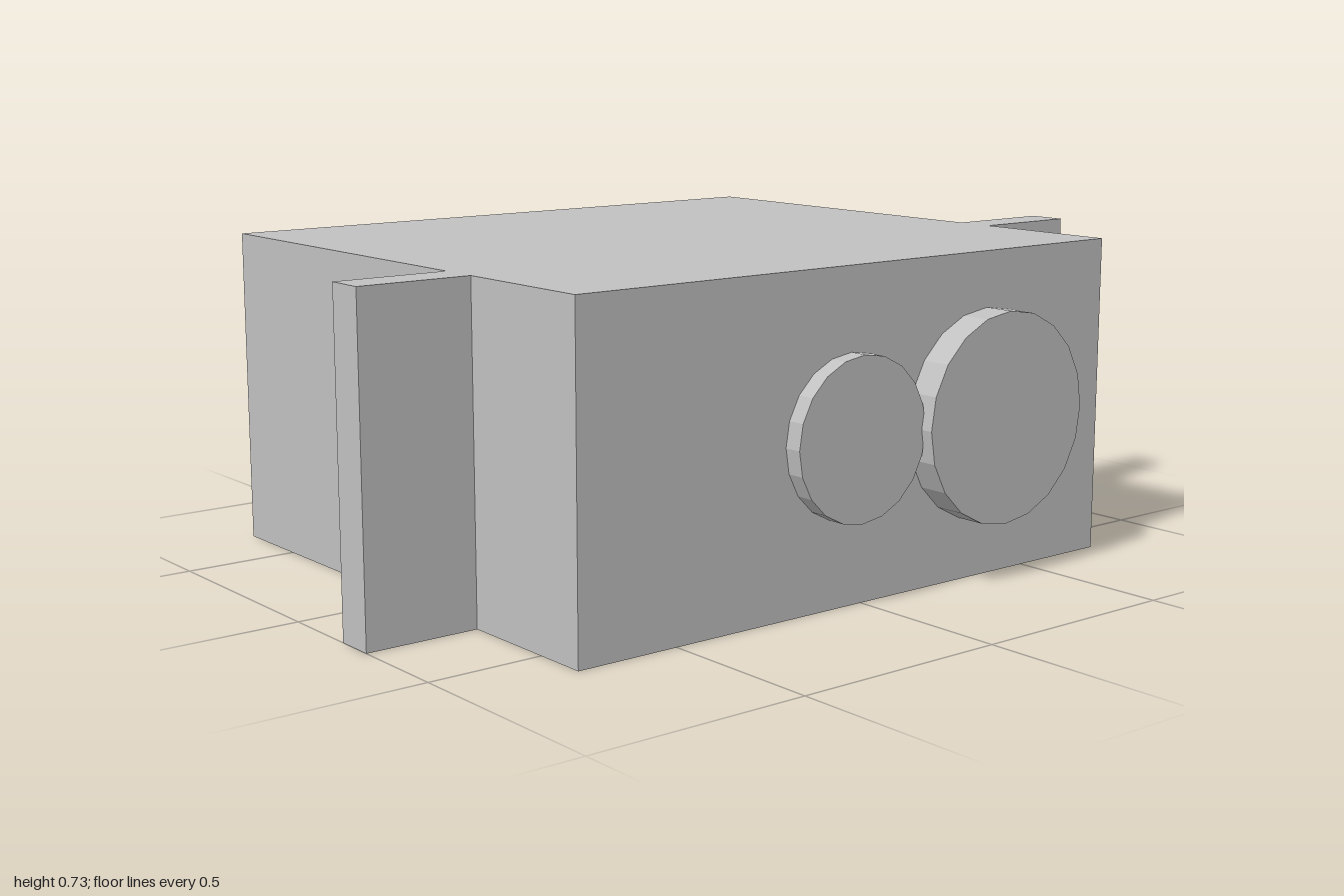
import * as THREE from 'three';

export function createModel() {
  const group = new THREE.Group();
  const grey = new THREE.MeshStandardMaterial({ color: 0xc0c0c0 });
  grey.name = 'light grey';
  grey.flatShading = true;

  const H = 0.725, MID = H / 2, FRONT = 0.623, BACK = -0.693;

  function add(name, geometry, x, y, z) {
    const mesh = new THREE.Mesh(geometry, grey);
    mesh.name = name;
    mesh.position.set(x, y, z);
    group.add(mesh);
  }

  // Main housing
  add('housing', new THREE.BoxGeometry(1.482, H, FRONT - BACK), 0, MID, (FRONT + BACK) / 2);

  // Mounting flanges on both sides
  for (const [name, side] of [['leftFlange', 1], ['rightFlange', -1]]) {
    add(name, new THREE.BoxGeometry(0.259, H, 0.09), side * 0.8705, MID, 0.229);
  }

  // Round bosses standing on the front face
  function boss(name, x, radius, depth) {
    const geometry = new THREE.CylinderGeometry(radius, radius, depth, 20).rotateX(Math.PI / 2);
    add(name, geometry, x, MID + 0.002, FRONT + depth / 2);
  }
  boss('largeBoss', 0.367, 0.236, 0.07);
  boss('smallBoss', -0.037, 0.179, 0.041);

  return group;
}
